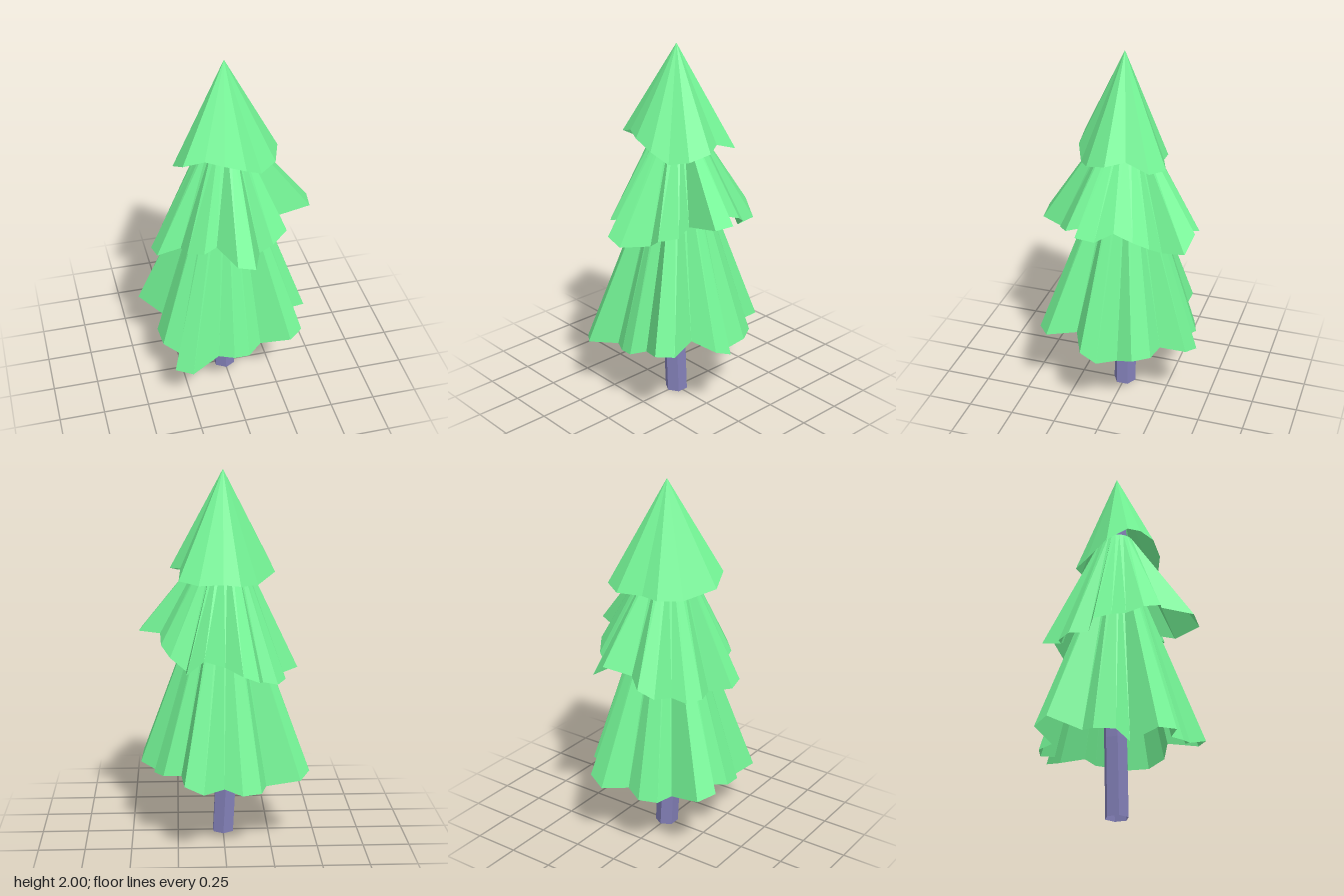
import * as THREE from 'three';

// Rims of the foliage skirts as [x, y, z], going round from the front towards +x
const lowerRim = [
  [-.03, .36, .37], [.05, .37, .38], [.125, .40, .33],
  [.275, .455, .40], [.355, .46, .335], [.31, .48, .175],
  [.435, .44, .115], [.45, .40, .02], [.35, .37, -.065],
  [.375, .40, -.155], [.325, .41, -.245], [.23, .42, -.27],
  [.215, .41, -.41], [.115, .375, -.445], [.005, .37, -.35],
  [-.09, .345, -.39], [-.19, .345, -.355], [-.22, .355, -.27],
  [-.40, .39, -.29], [-.455, .415, -.20], [-.33, .365, -.06],
  [-.39, .345, .02], [-.38, .33, .135], [-.30, .285, .18],
  [-.355, .32, .345], [-.27, .33, .41], [-.11, .355, .33],
];
const middleRim = [
  [-.035, 1.05, .445], [.06, 1.02, .445], [.12, 1.0, .29],
  [.19, 1.05, .30], [.28, 1.08, .237], [.24, 1.10, .13],
  [.435, 1.14, .13], [.45, 1.14, .02], [.335, 1.14, -.045],
  [.33, 1.10, -.145], [.283, 1.05, -.22], [.20, .99, -.265],
  [.20, 1.0, -.385], [.11, 1.08, -.415], [0, 1.02, -.315],
  [-.09, .99, -.39], [-.175, .95, -.36], [-.20, .92, -.24],
  [-.28, .90, -.22], [-.327, .91, -.145], [-.30, .91, -.045],
  [-.405, .93, .02], [-.39, .945, .115], [-.27, 1.0, .15],
  [-.255, 1.03, .243], [-.18, 1.06, .31], [-.11, 1.08, .29],
];
const topRim = [
  [-.053, 1.53, .232], [.06, 1.485, .232], [.15, 1.43, .19],
  [.24, 1.45, .13], [.28, 1.48, .02], [.225, 1.495, -.075],
  [.235, 1.45, -.20], [.133, 1.435, -.26], [.005, 1.43, -.213],
  [-.085, 1.42, -.21], [-.18, 1.41, -.11], [-.28, 1.45, .045],
  [-.25, 1.51, .155], [-.145, 1.545, .19],
];

const leaves = new THREE.MeshStandardMaterial({ color: 0x74f596, flatShading: true, side: THREE.DoubleSide });
const bark = new THREE.MeshStandardMaterial({ color: 0x8380b8, flatShading: true, side: THREE.DoubleSide });

// Open pleated skirt from a rim up to a small ring (or a point if radius is 0)
function skirt(name, rim, topY, radius) {
  const upper = rim.map(([x, , z]) => {
    const s = radius / Math.hypot(x, z);
    return [x * s, topY, z * s];
  });
  const pos = [];
  rim.forEach((a, i) => {
    const j = (i + 1) % rim.length;
    pos.push(...a, ...rim[j], ...upper[j]);
    if (radius > 0) pos.push(...a, ...upper[j], ...upper[i]);
  });
  const geo = new THREE.BufferGeometry();
  geo.setAttribute('position', new THREE.Float32BufferAttribute(pos, 3));
  geo.computeVertexNormals();
  const mesh = new THREE.Mesh(geo, leaves);
  mesh.name = name;
  return mesh;
}

// Six-sided hollow trunk, bent slightly towards -x above its foot
function trunk() {
  const height = 1.65;
  const geo = new THREE.CylinderGeometry(0.063, 0.063, height, 6, 4, true);
  geo.translate(0, height / 2, 0);
  const p = geo.attributes.position;
  for (let i = 0; i < p.count; i++) {
    p.setX(i, p.getX(i) - 0.02 * Math.min(1, p.getY(i) / 0.41));
  }
  geo.computeVertexNormals();
  const mesh = new THREE.Mesh(geo, bark);
  mesh.name = 'trunk';
  return mesh;
}

export function createModel() {
  const tree = new THREE.Group();
  tree.name = 'pineTree';
  tree.add(
    trunk(),
    skirt('lowerFoliage', lowerRim, 1.43, 0.08),
    skirt('middleFoliage', middleRim, 1.59, 0.09),
    skirt('topFoliage', topRim, 2, 0),
  );
  return tree;
}
